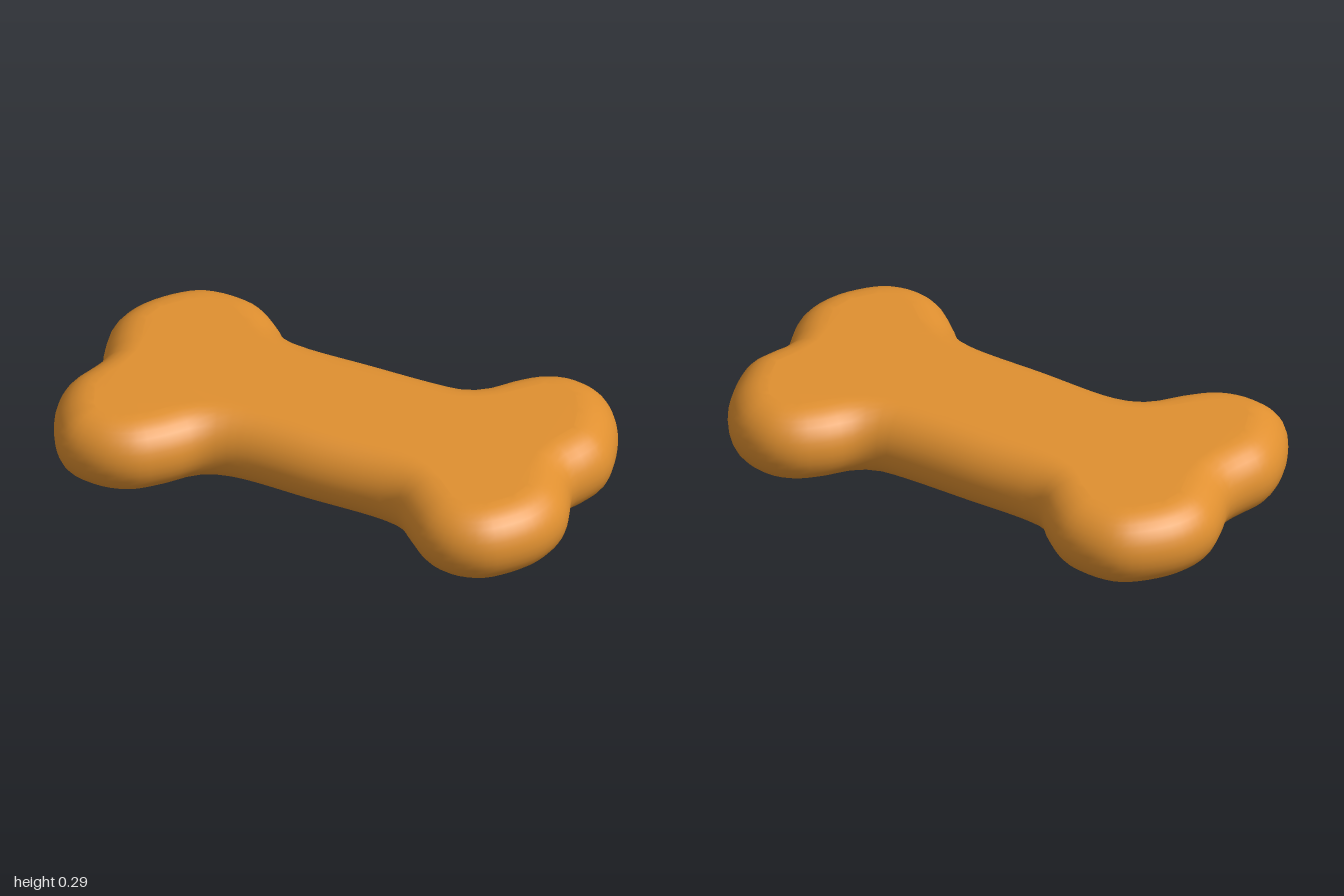
import * as THREE from 'three';

const HEIGHT = 0.295;
const ROUND = 0.145; // width of the rounded rim
const SEGMENTS = 144;
const RINGS = 16;

// Slightly irregular bone outline as x, z pairs, starting at the notch on the -x end
const OUTLINE = [
  -0.94, 0.01, -0.972, -0.1, -0.995, -0.22, -0.96, -0.35, -0.87, -0.47, -0.78, -0.535,
  -0.665, -0.555, -0.53, -0.53, -0.43, -0.455, -0.355, -0.38, -0.26, -0.357,
  0, -0.347, 0.27, -0.338, 0.36, -0.343, 0.41, -0.37, 0.487, -0.46, 0.58, -0.535,
  0.7, -0.565, 0.834, -0.525, 0.925, -0.42, 0.975, -0.295, 0.995, -0.18, 0.97, -0.09,
  0.935, 0, 0.96, 0.08, 0.992, 0.2, 0.97, 0.33, 0.9, 0.445, 0.81, 0.525,
  0.685, 0.555, 0.57, 0.525, 0.47, 0.44, 0.39, 0.365, 0.3, 0.338,
  0, 0.322, -0.31, 0.308, -0.39, 0.335, -0.475, 0.43, -0.58, 0.52,
  -0.715, 0.555, -0.865, 0.52, -0.94, 0.42, -0.985, 0.295, -0.99, 0.2, -0.957, 0.09,
];

function boneGeometry() {
  const points = [];
  for (let i = 0; i < OUTLINE.length; i += 2) {
    points.push(new THREE.Vector3(OUTLINE[i], 0, OUTLINE[i + 1]));
  }
  const curve = new THREE.CatmullRomCurve3(points, true, 'centripetal');
  curve.arcLengthDivisions = 800;
  const at = (u) => curve.getPointAt((u + 1) % 1);

  // Outline samples with softened outward directions
  const samples = [];
  for (let i = 0; i < SEGMENTS; i++) {
    const u = i / SEGMENTS;
    const t = at(u + 0.01).sub(at(u - 0.01)).normalize();
    samples.push({ p: at(u), nx: t.z, nz: -t.x });
  }

  // Rings from the underside to the top, following a half-round rim
  const positions = [];
  const indices = [];
  for (let j = 0; j <= RINGS; j++) {
    const angle = (j / RINGS - 0.5) * Math.PI;
    const inset = ROUND * (1 - Math.cos(angle));
    const y = (HEIGHT / 2) * (1 + Math.sin(angle));
    for (const { p, nx, nz } of samples) {
      positions.push(p.x - nx * inset, y, p.z - nz * inset);
    }
  }
  for (let j = 0; j < RINGS; j++) {
    for (let i = 0; i < SEGMENTS; i++) {
      const k = (i + 1) % SEGMENTS;
      const a = j * SEGMENTS + i, b = j * SEGMENTS + k;
      const c = a + SEGMENTS, d = b + SEGMENTS;
      indices.push(a, c, b, b, c, d);
    }
  }

  // Flat top and underside, filled from the inner ring
  const inner = samples.map(({ p, nx, nz }) => new THREE.Vector2(p.x - nx * ROUND, p.z - nz * ROUND));
  const top = RINGS * SEGMENTS;
  for (const [a, b, c] of THREE.ShapeUtils.triangulateShape(inner, [])) {
    const ab = inner[b].clone().sub(inner[a]);
    const ac = inner[c].clone().sub(inner[a]);
    const [m, n] = ab.cross(ac) < 0 ? [b, c] : [c, b];
    indices.push(top + a, top + m, top + n, a, n, m);
  }

  const geometry = new THREE.BufferGeometry();
  geometry.setAttribute('position', new THREE.Float32BufferAttribute(positions, 3));
  geometry.setIndex(indices);
  geometry.computeVertexNormals();
  return geometry;
}

export function createModel() {
  const biscuit = new THREE.MeshStandardMaterial({ color: 0xe09030 });
  biscuit.name = 'biscuit brown';

  const bone = new THREE.Mesh(boneGeometry(), biscuit);
  bone.name = 'boneBiscuit';

  const group = new THREE.Group();
  group.name = 'dogBiscuit';
  group.add(bone);
  return group;
}
